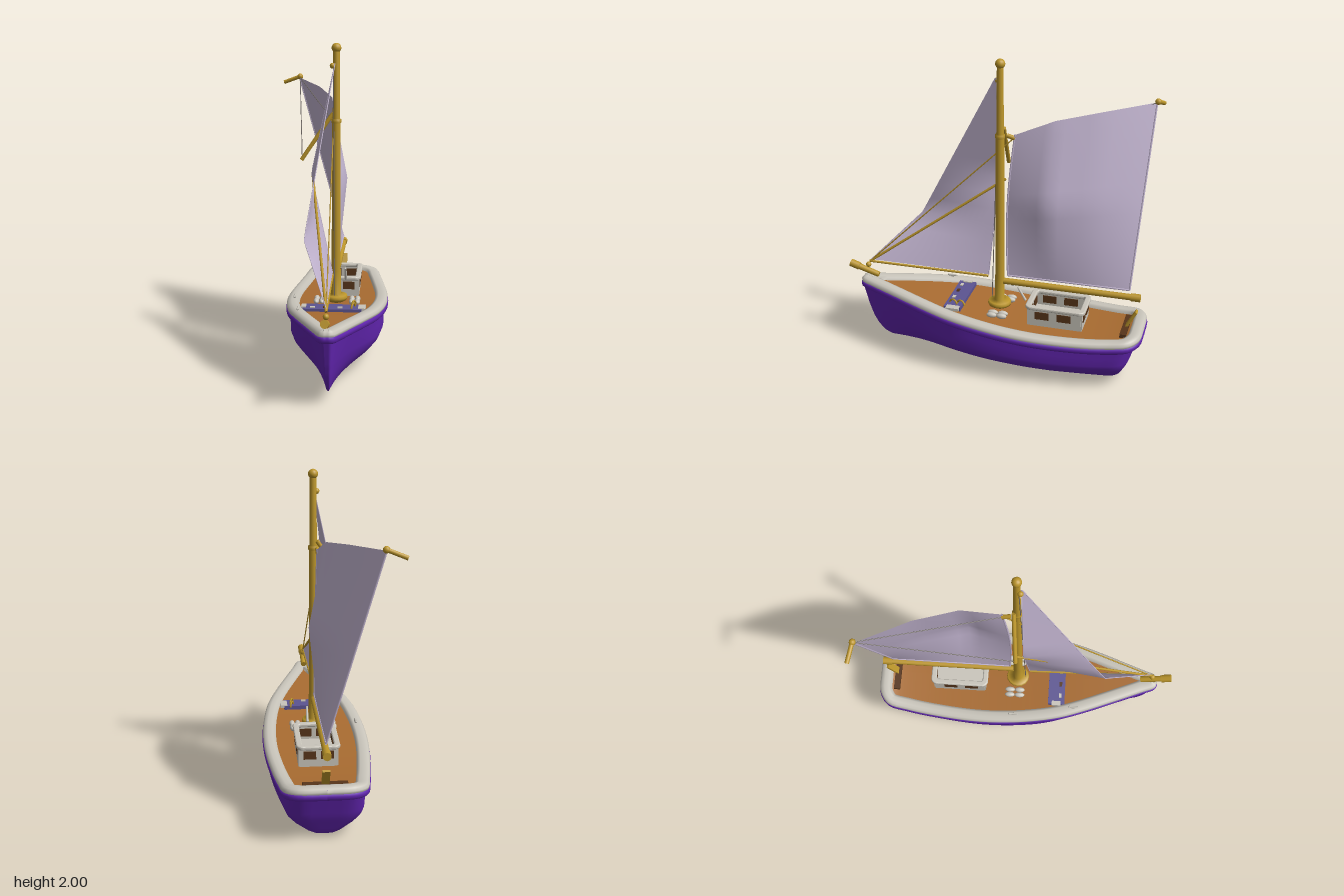
import * as THREE from 'three';
import { mergeVertices } from 'three/addons/utils/BufferGeometryUtils.js';

const V = (x, y, z) => new THREE.Vector3(x, y, z);
const lerp = THREE.MathUtils.lerp;
const CX = 0.05; // centre line of the boat

function material(name, color, side = THREE.FrontSide) {
  const m = new THREE.MeshStandardMaterial({ color, side });
  m.name = name;
  return m;
}

// Linear lookup in a small table of [input, output] pairs
function look(table, x) {
  for (let i = 1; i < table.length; i++) {
    const [a, p] = table[i - 1], [b, q] = table[i];
    if (x <= b) return lerp(p, q, Math.max(0, (x - a) / (b - a)));
  }
  return table[table.length - 1][1];
}

// Straight-segment path through [t, x, y, z] knots
const poly = knots => t => V(...[1, 2, 3].map(k => look(knots.map(p => [p[0], p[k]]), t)));

// Smooth surface through a grid of points fn(i, j)
function surface(nu, nv, fn) {
  const pos = [], idx = [], row = nv + 1;
  for (let i = 0; i <= nu; i++) for (let j = 0; j <= nv; j++) pos.push(...fn(i, j).toArray());
  for (let i = 0; i < nu; i++) for (let j = 0; j < nv; j++) {
    const a = i * row + j;
    idx.push(a, a + row, a + 1, a + 1, a + row, a + row + 1);
  }
  let g = new THREE.BufferGeometry();
  g.setAttribute('position', new THREE.Float32BufferAttribute(pos, 3));
  g.setIndex(idx);
  g = mergeVertices(g, 1e-5);
  g.computeVertexNormals();
  return g;
}

// Rounded rectangle outline
function roundRect(path, w, h, r) {
  path.absarc(w - r, h - r, r, 0, Math.PI / 2).absarc(r - w, h - r, r, Math.PI / 2, Math.PI);
  return path.absarc(r - w, r - h, r, Math.PI, Math.PI * 1.5).absarc(w - r, r - h, r, Math.PI * 1.5, Math.PI * 2);
}

export function createModel() {
  const boat = new THREE.Group();
  boat.name = 'sailingBoat';
  const purple = material('hull purple', 0x6225b0, THREE.DoubleSide);
  const white = material('painted white', 0xc9c5bb, THREE.DoubleSide);
  const wood = material('deck wood', 0xa96c31, THREE.DoubleSide);
  const gold = material('spar gold', 0xbc962b);
  const cloth = material('sail lavender', 0xc5b7d3, THREE.DoubleSide);
  const rope = material('rope grey', 0x77706c);
  const dark = material('window brown', 0x57351a);
  const slate = material('hatch violet', 0x5c5492);

  function add(name, geo, mat, x = 0, y = 0, z = 0, parent = boat) {
    const m = new THREE.Mesh(geo, mat);
    m.name = name;
    m.position.set(x, y, z);
    parent.add(m);
    return m;
  }
  // Round bar between two points
  function bar(name, a, b, r0, r1, mat, sides = 10) {
    const m = add(name, new THREE.CylinderGeometry(r1, r0, a.distanceTo(b), sides), mat);
    m.position.copy(a).lerp(b, 0.5);
    m.quaternion.setFromUnitVectors(V(0, 1, 0), b.clone().sub(a).normalize());
  }
  const box = (name, w, h, d, mat, x, y, z, parent) =>
    add(name, new THREE.BoxGeometry(w, h, d), mat, x, y, z, parent);

  // Half outline of the gunwale: half width, height, z, from stern to bow
  const outline = new THREE.CatmullRomCurve3([
    [0, 0.372, -0.975], [0.16, 0.37, -0.965], [0.235, 0.362, -0.91], [0.265, 0.35, -0.78], [0.292, 0.346, -0.6],
    [0.318, 0.355, -0.35], [0.322, 0.37, -0.15], [0.308, 0.39, 0.05], [0.275, 0.412, 0.25], [0.222, 0.43, 0.42],
    [0.15, 0.447, 0.61], [0.075, 0.462, 0.8], [0.045, 0.47, 0.875], [0.02, 0.471, 0.89], [0, 0.471, 0.89],
  ].map(p => V(...p)));
  const N = 56;
  const edge = [...Array(N + 1).keys()].map(i => {
    const p = outline.getPoint(i / N), t = outline.getTangent(i / N);
    return { p, n: V(t.z, 0, -t.x).normalize() };
  });
  // Point on the outline moved outwards and up
  function rim(i, side, out, up) {
    const { p, n } = edge[i];
    return V(CX + side * Math.max(0, p.x + n.x * out), p.y + up, p.z + n.z * out);
  }
  const loop = (i, out, up) => (i <= N ? rim(i, 1, out, up) : rim(2 * N - i, -1, out, up));
  const band = profile => surface(2 * N, profile.length - 1, (i, j) => loop(i, ...profile[j]));

  // Hull: waterlines from keel to rub rail, slightly V-shaped at the bow
  const full = [[0, 0], [0.05, 0.3], [0.12, 0.5], [0.28, 0.76], [0.43, 0.92], [0.6, 0.99], [1, 1]];
  const sternZ = [[0, -0.8], [0.08, -0.84], [0.5, -0.9], [1, -0.95]];
  const bowZ = [[0, 0.7], [0.07, 0.75], [0.2, 0.79], [0.35, 0.82], [0.6, 0.85], [1, 0.885]];
  const keel = [[0, 0.005], [0.25, 0], [0.5, 0.015], [0.85, 0.042], [1, 0.05]];
  const rows = [0, 0.03, 0.07, 0.12, 0.2, 0.28, 0.36, 0.44, 0.52, 0.6, 0.8, 1];
  add('hull', surface(2 * N, rows.length - 1, (i, j) => {
    const v = rows[j], top = loop(i, -0.022, -0.06);
    const s = THREE.MathUtils.clamp((top.z + 0.953) / 1.821, 0, 1);
    const g = lerp(look(full, v), v ** 0.5, THREE.MathUtils.smoothstep(s, 0.55, 1));
    return V(CX + (top.x - CX) * g, lerp(look(keel, s), top.y, v), lerp(look(sternZ, v), look(bowZ, v), s));
  }), purple);
  add('rubRail', band([[-0.02, -0.028], [0, -0.032], [0.005, -0.045], [0.003, -0.062], [-0.008, -0.073],
    [-0.028, -0.077]]), purple);
  add('gunwale', band([[-0.015, -0.04], [0, -0.035], [0.001, -0.018], [-0.01, -0.003], [-0.03, 0.003],
    [-0.06, 0.001], [-0.077, -0.006], [-0.083, -0.035]]), white);
  add('deck', surface(N, 2, (i, j) => rim(i, j - 1, -0.07, -0.022)), wood);

  // Mast with foot, collars and ball
  const MX = 0.047, MZ = -0.042;
  add('mast', new THREE.LatheGeometry([[0, 0.37], [0.045, 0.37], [0.07, 0.385], [0.075, 0.4], [0.068, 0.415],
    [0.032, 0.42], [0.032, 0.57], [0.029, 0.58], [0.026, 1.51], [0.031, 1.515], [0.031, 1.535], [0.023, 1.54],
    [0.02, 1.95], [0, 1.95]].map(p => new THREE.Vector2(...p)), 16), gold, MX, 0, MZ);
  add('mastBall', new THREE.SphereGeometry(0.03, 14, 10), gold, MX, 1.972, MZ);
  add('mastEye', new THREE.SphereGeometry(0.018, 10, 8), gold, 0.025, 1.865, -0.02);

  // Spars
  bar('boom', V(MX, 0.553, -0.03), V(MX, 0.553, -0.9), 0.02, 0.02, gold);
  bar('boomEnd', V(MX, 0.553, -0.88), V(MX, 0.553, -0.94), 0.025, 0.025, gold);
  bar('bowsprit', V(MX, 0.48, 0.78), V(MX, 0.53, 0.94), 0.018, 0.02, gold);
  bar('bowspritEnd', V(MX, 0.523, 0.915), V(MX, 0.542, 0.975), 0.025, 0.025, gold);
  bar('peakSpar', V(-0.375, 1.68, -0.96), V(-0.255, 1.725, -0.935), 0.013, 0.013, gold);
  add('peakKnob', new THREE.SphereGeometry(0.02, 10, 8), gold, -0.262, 1.722, -0.936);
  bar('gaffSpar', V(-0.17, 1.28, -0.04), V(0.025, 1.57, -0.06), 0.013, 0.013, gold);
  bar('throatKnob', V(0.025, 1.525, -0.08), V(0.025, 1.51, -0.13), 0.014, 0.014, gold);
  bar('jibPole', V(MX, 0.57, 0.84), V(-0.1, 1.19, -0.04), 0.008, 0.008, gold, 8);
  bar('jibFootSpar', V(MX, 0.572, 0.83), V(0.03, 0.565, 0.04), 0.008, 0.008, gold, 8);
  add('stemKnob', new THREE.SphereGeometry(0.018, 10, 8), gold, MX, 0.545, 0.85);

  // Sails, each spanned between two edge paths with angular corners
  const tent = (t, peakAt) => Math.min(t / peakAt, (1 - t) / (1 - peakAt));
  const head = poly([[0, 0.03, 1.535, -0.13], [1 / 3, 0, 1.635, -0.37], [2 / 3, -0.1, 1.68, -0.63],
    [1, -0.265, 1.715, -0.93]]);
  const foot = poly([[0, MX, 0.595, -0.095], [1, MX, 0.6, -0.87]]);
  const main = (u, v) => {
    const p = foot(u).lerp(head(u), v);
    p.x += 0.077 * tent(v, 0.5) * tent(u, 1 / 3);
    p.z += 0.025 * Math.sin(Math.PI * v) * (1 - u);
    return p;
  };
  add('mainSail', surface(12, 12, (i, j) => main(i / 12, j / 12)), cloth);
  const luff = poly([[0, MX, 0.585, 0.83], [0.25, -0.105, 0.9, 0.515], [1, 0.04, 1.88, -0.01]]);
  const leech = poly([[0, 0.03, 0.575, 0.035], [0.5, -0.105, 1.2, 0.005], [1, 0.04, 1.88, -0.015]]);
  const jib = (u, v) => leech(v).lerp(luff(v), u);
  add('jibSail', surface(12, 12, (i, j) => jib(i / 12, j / 12)), cloth);

  // Hems along the sail edges
  const hems = [t => main(0, t), t => main(1, t), t => main(t, 0), t => jib(0, t), t => jib(1, t)];
  hems.forEach((f, k) => {
    const path = new THREE.CurvePath();
    for (let i = 0; i < 12; i++) path.add(new THREE.LineCurve3(f(i / 12), f((i + 1) / 12)));
    add('sailHem', new THREE.TubeGeometry(path, 24, k < 3 ? 0.006 : 0.003, 6), cloth);
  });

  // Rigging lines
  const peak = V(-0.262, 1.715, -0.935);
  bar('forestay', V(MX, 0.57, 0.84), V(0.025, 1.5, -0.11), 0.004, 0.004, gold, 6);
  [[peak, V(0.025, 1.51, -0.12)], [peak, V(-0.165, 1.285, -0.04)], [V(0.03, 1.87, -0.03), V(0.04, 0.42, 0.01)]]
    .forEach(([a, b]) => bar('riggingLine', a, b, 0.003, 0.003, rope, 5));

  // Deck house: open top, rounded rim, windows
  const house = new THREE.Group();
  house.name = 'deckHouse';
  house.position.set(0.065, 0.34, -0.43);
  boat.add(house);
  const hw = 0.112, hl = 0.168;
  box('houseFloor', 2 * hw, 0.01, 2 * hl, white, 0, 0.025, 0, house);
  for (const s of [-1, 1]) {
    box('houseSide', 0.014, 0.11, 2 * hl, white, s * hw, 0.055, 0, house);
    box('houseEnd', 2 * hw, 0.11, 0.014, white, 0, 0.055, s * hl, house);
    for (const t of [-1, 1]) {
      box('sideWindow', 0.022, 0.05, 0.088, dark, s * hw, 0.073, t * 0.07 + 0.01, house);
      box('endWindow', 0.075, 0.05, 0.022, dark, t * 0.052, 0.073, s * hl, house);
    }
  }
  const ring = roundRect(new THREE.Shape(), 0.122, 0.182, 0.03);
  ring.holes.push(roundRect(new THREE.Path(), 0.102, 0.162, 0.02));
  add('houseRim', new THREE.ExtrudeGeometry(ring, {
    depth: 0.008, bevelSize: 0.008, bevelThickness: 0.008, bevelSegments: 3, curveSegments: 6,
  }), white, 0, 0.117, 0, house).rotation.x = -Math.PI / 2;
  bar('lever', V(0.1, 0.465, -0.225), V(0.1, 0.55, -0.175), 0.009, 0.006, white, 8);

  // Fore hatch plate with end fittings, knobs and handle hoops
  box('hatchPlate', 0.36, 0.025, 0.11, slate, 0.04, 0.4, 0.225);
  box('hatchFitting', 0.045, 0.018, 0.085, white, 0.222, 0.406, 0.22);
  box('hatchFitting', 0.03, 0.018, 0.06, white, -0.135, 0.41, 0.225);
  for (const z of [0.18, 0.23])
    add('handleHoop', new THREE.TorusGeometry(0.028, 0.006, 6, 14, Math.PI), gold, 0.17, 0.41, z).rotation.y = 1.2;
  for (const x of [-0.08, 0, 0.09]) box('hatchHinge', 0.03, 0.008, 0.018, x ? white : dark, x, 0.415, 0.25);

  // Bollard pairs beside the mast and cleats on the gunwale
  for (const x of [-0.06, 0.165]) for (const dx of [-0.018, 0.018]) for (const z of [-0.09, -0.025]) {
    add('bollard', new THREE.SphereGeometry(0.018, 10, 8), white, x + dx, 0.372, z).scale.z = 1.9;
  }
  for (const [x, y, z] of [[-0.22, 0.378, -0.06], [-0.16, 0.42, 0.34]]) {
    add('cleat', new THREE.CapsuleGeometry(0.007, 0.05, 3, 8), white, x, y + 0.015, z).rotation.x = Math.PI / 2;
    box('cleatFoot', 0.014, 0.03, 0.02, white, x, y, z);
  }

  // Stern bench and tiller
  box('sternBench', 0.26, 0.025, 0.04, dark, CX, 0.345, -0.86);
  box('tiller', 0.045, 0.125, 0.015, gold, CX, 0.405, -0.892).rotation.x = -0.5;
  return boat;
}
